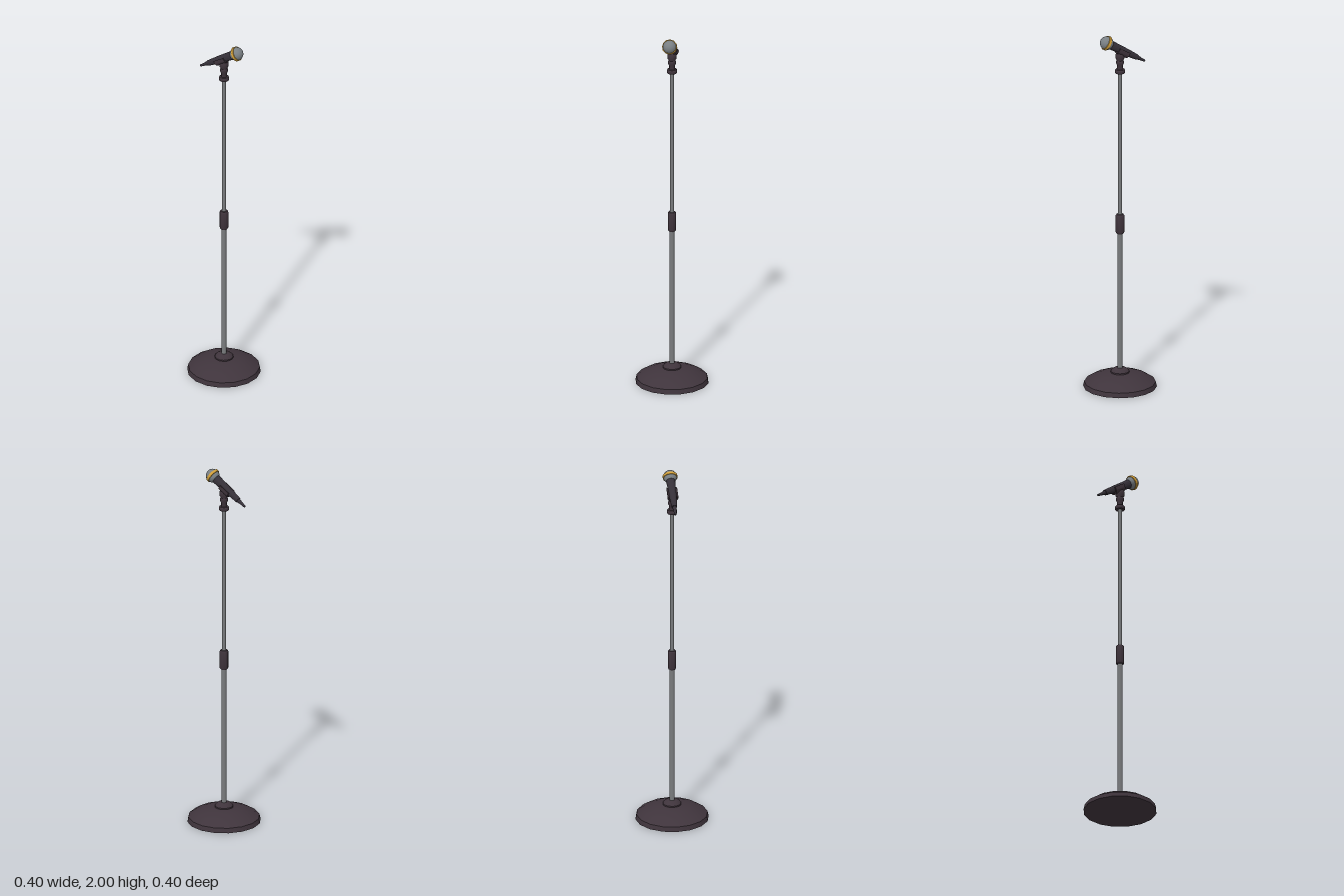
import * as THREE from 'three';
import { toCreasedNormals } from 'three/addons/utils/BufferGeometryUtils.js';

const material = (name, color) => {
  const m = new THREE.MeshStandardMaterial({ color });
  m.name = name;
  return m;
};

export function createModel() {
  const model = new THREE.Group();
  model.name = 'microphoneStand';

  const plastic = material('dark plastic', 0x3f343c);
  const handleDark = material('handle black', 0x353038);
  const steel = material('steel', 0x797b7d);
  const mesh = material('grille grey', 0x7a8084);
  const gold = material('gold', 0xd2a03a);

  const add = (parent, name, geometry, mat) => {
    const part = new THREE.Mesh(geometry, mat);
    part.name = name;
    parent.add(part);
    return part;
  };
  // Turned part from [radius, height] pairs, listed bottom to top
  const turned = (parent, name, profile, mat, sides = 16) => {
    const points = profile.map(([r, y]) => new THREE.Vector2(r, y));
    const geometry = new THREE.LatheGeometry(points, sides);
    return add(parent, name, toCreasedNormals(geometry, 0.6), mat);
  };

  // Domed foot and its collar
  turned(model, 'base', [
    [0, 0], [0.198, 0], [0.192, 0.026], [0.155, 0.05], [0.105, 0.069], [0.05, 0.079], [0, 0.08],
  ], plastic);
  turned(model, 'baseCollar', [
    [0.05, 0.074], [0.05, 0.086], [0.044, 0.094], [0.03, 0.104], [0, 0.105],
  ], plastic);

  // Telescopic pole with a clutch grip
  turned(model, 'lowerPole', [[0.0135, 0.09], [0.0135, 0.9]], steel);
  turned(model, 'upperPole', [[0.0115, 0.9], [0.0115, 1.795]], steel);
  turned(model, 'clutch', [
    [0, 0.87], [0.019, 0.87], [0.023, 0.877], [0.023, 0.972], [0.019, 0.979], [0, 0.979],
  ], plastic);

  // Threaded flange and neck below the clip
  turned(model, 'flange', [
    [0, 1.783], [0.025, 1.783], [0.028, 1.788], [0.028, 1.799], [0.024, 1.805], [0, 1.805],
  ], plastic);
  turned(model, 'neck', [
    [0.015, 1.8], [0.015, 1.825], [0.021, 1.838], [0.021, 1.85], [0.018, 1.856],
    [0.024, 1.868], [0.024, 1.888], [0.018, 1.905], [0, 1.908],
  ], plastic);

  // Microphone, built along its own y axis with the ball at the origin
  const microphone = new THREE.Group();
  microphone.name = 'microphone';
  microphone.position.set(0.076, 1.963, 0);
  microphone.rotation.z = -THREE.MathUtils.degToRad(59.5);
  model.add(microphone);

  turned(microphone, 'handle', [
    [0, -0.2], [0.015, -0.2], [0.018, -0.16], [0.021, -0.11], [0.023, -0.06], [0.025, -0.026], [0, -0.02],
  ], handleDark);
  turned(microphone, 'cableConnector', [
    [0, -0.252], [0.006, -0.252], [0.008, -0.225], [0.011, -0.21], [0.012, -0.198],
  ], handleDark, 12);
  add(microphone, 'grille', new THREE.SphereGeometry(0.037, 16, 12), mesh);
  turned(microphone, 'grilleRing', [
    [0.035, -0.008], [0.0405, -0.007], [0.0405, 0.007], [0.035, 0.008],
  ], gold, 12);

  // Clip: a C-shaped sleeve open at the top of the handle
  const spread = 1.85;
  const profile = new THREE.Shape();
  profile.absarc(0, 0, 0.029, -spread, spread, false);
  profile.absarc(0, 0, 0.021, spread, -spread, true);
  profile.closePath();
  const sleeve = new THREE.ExtrudeGeometry(profile, { depth: 0.066, bevelEnabled: false, curveSegments: 12 });
  sleeve.rotateX(-Math.PI / 2);
  sleeve.translate(0, -0.142, 0);
  add(microphone, 'clip', toCreasedNormals(sleeve, 0.6), plastic);

  return model;
}
